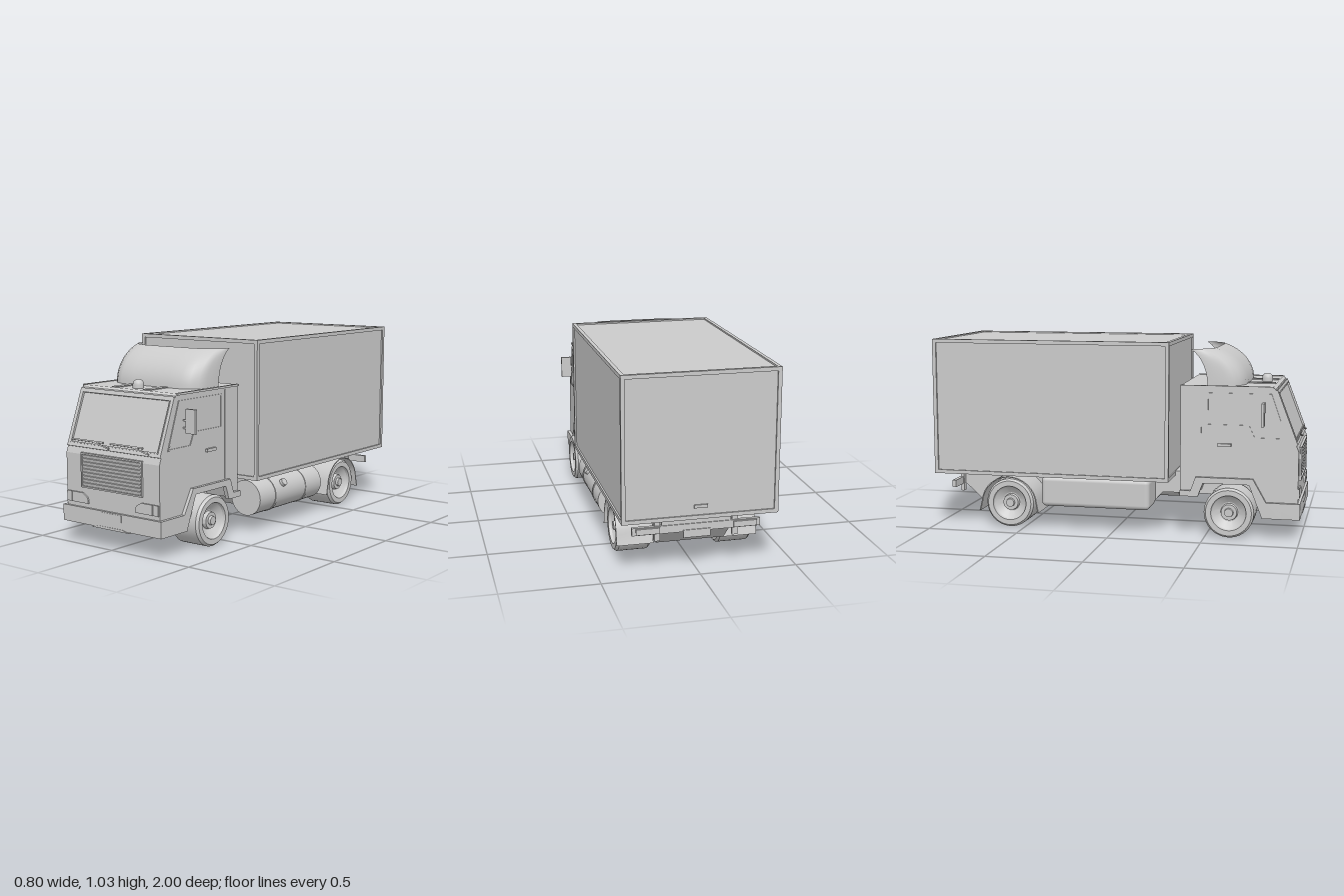
import * as THREE from 'three';
import { toCreasedNormals } from 'three/addons/utils/BufferGeometryUtils.js';
import { RoundedBoxGeometry } from 'three/addons/geometries/RoundedBoxGeometry.js';

const grey = new THREE.MeshStandardMaterial({ color: 0xcccccc });
const sheet = new THREE.MeshStandardMaterial({ color: 0xcccccc, side: THREE.DoubleSide });

function add(parent, name, geo, x = 0, y = 0, z = 0, mat = grey) {
  const m = new THREE.Mesh(geo, mat);
  m.name = name;
  m.position.set(x, y, z);
  parent.add(m);
  return m;
}
// box given by its min and max corners
function box(parent, name, x0, x1, y0, y1, z0, z1) {
  return add(parent, name, new THREE.BoxGeometry(x1 - x0, y1 - y0, z1 - z0), (x0 + x1) / 2, (y0 + y1) / 2, (z0 + z1) / 2);
}
function group(parent, name) {
  const g = new THREE.Group();
  g.name = name;
  parent.add(g);
  return g;
}
const outline = pts => new THREE.Shape(pts.map(p => new THREE.Vector2(...p)));
const extrude = (shape, depth) => new THREE.ExtrudeGeometry(shape, { depth, bevelEnabled: false });
// (z, y) outline extruded across x
function side(pts, x0, x1, hole) {
  const s = outline(pts);
  if (hole) s.holes.push(outline(hole));
  return extrude(s, x1 - x0).rotateY(-Math.PI / 2).translate(x1, 0, 0);
}
// flat rectangular frame in the xy plane
function frame(x0, x1, y0, y1, w, depth) {
  const s = outline([[x0, y0], [x1, y0], [x1, y1], [x0, y1]]);
  s.holes.push(outline([[x0 + w, y0 + w], [x0 + w, y1 - w], [x1 - w, y1 - w], [x1 - w, y0 + w]]));
  return extrude(s, depth);
}

function buildCargo(root) {
  const g = group(root, 'cargoBox');
  box(g, 'cargoPanels', -0.388, 0.388, 0.303, 1.027, -0.992, 0.302);
  const w = 0.02;
  // edge rails in all three directions
  for (const sx of [-1, 1]) {
    const xa = Math.min(sx * 0.397, sx * (0.397 - w)), xb = xa + w;
    for (const y of [0.295, 1.035 - w]) box(g, 'longRail', xa, xb, y, y + w, -1, 0.31);
    for (const z of [-1, 0.31 - w]) box(g, 'cornerPost', xa, xb, 0.295, 1.035, z, z + w);
  }
  for (const y of [0.295, 1.035 - w]) for (const z of [-1, 0.31 - w]) box(g, 'crossRail', -0.397, 0.397, y, y + w, z, z + w);
  box(g, 'rearHandle', -0.035, 0.035, 0.352, 0.368, -1, -0.99);
}

function buildChassis(root) {
  const g = group(root, 'chassis');
  add(g, 'chassisBody', side([[0.95, 0.12], [0.72, 0.12], [0.5, 0.2], [0.24, 0.2], [0.16, 0.11], [-0.8, 0.11], [-0.92, 0.22],
    [-0.92, 0.298], [0.31, 0.298], [0.31, 0.32], [0.95, 0.32]], -0.178, 0.178));
  box(g, 'cabLink', -0.125, 0.125, 0.2, 0.31, 0.3, 0.37);
  // rear bar and lamps
  box(g, 'rearBar', -0.33, 0.33, 0.205, 0.245, -0.925, -0.905);
  for (const s of [-1, 1]) {
    box(g, 'rearLamp', s * 0.25 - 0.06, s * 0.25 + 0.06, 0.21, 0.24, -0.935, -0.92);
    box(g, 'barBracket', s * 0.2 - 0.015, s * 0.2 + 0.015, 0.165, 0.298, -0.918, -0.9);
  }
  box(g, 'rearPlate', -0.07, 0.07, 0.175, 0.215, -0.93, -0.92);
  // fuel tank on the left side
  const tank = group(g, 'fuelTank');
  tank.position.set(0.288, 0.182, -0.035);
  add(tank, 'tankBody', new THREE.CylinderGeometry(0.096, 0.096, 0.59, 40).rotateX(Math.PI / 2));
  for (const z of [0.145, -0.145]) {
    add(tank, 'tankStrap', new THREE.CylinderGeometry(0.099, 0.099, 0.018, 40).rotateX(Math.PI / 2), 0, 0, z);
    box(tank, 'strapHanger', -0.02, 0.02, 0.09, 0.118, z - 0.009, z + 0.009);
  }
  add(tank, 'tankCap', new THREE.CylinderGeometry(0.021, 0.021, 0.03, 20).rotateZ(-Math.PI / 2 + 0.6), 0.08, 0.055, 0.065);
  // equipment case on the right side
  add(g, 'sideCase', new RoundedBoxGeometry(0.2, 0.165, 0.6, 4, 0.025), -0.267, 0.212, -0.1);
}

function buildWheels(root) {
  // tyre, rim and hub as one turned profile, open end outward
  const profile = [[0, -0.09], [0.122, -0.09], [0.133, -0.078], [0.133, 0.076], [0.122, 0.09], [0.094, 0.09], [0.09, 0.076],
    [0.084, 0.07], [0.052, 0.05], [0.046, 0.05], [0.042, 0.07], [0.024, 0.07], [0.022, 0.084], [0, 0.084]];
  const geo = toCreasedNormals(new THREE.LatheGeometry(profile.map(p => new THREE.Vector2(...p)), 40).rotateZ(-Math.PI / 2), 0.5);
  const guard = [];
  for (let i = 0; i <= 16; i++) {
    const a = Math.PI * (0.02 + 0.96 * i / 16);
    guard.push([-0.583 + Math.cos(a) * 0.158, 0.133 + Math.sin(a) * 0.153]);
  }
  // flared ends of the guard, then the inner skin back again
  guard.unshift([-0.415, 0.09]);
  guard.push([-0.755, 0.09]);
  const inner = guard.map(([z, y]) => [-0.583 + (z + 0.583) * 0.965, y === 0.09 ? y : 0.133 + (y - 0.133) * 0.965]).reverse();
  for (const s of [-1, 1]) {
    for (const [z, name] of [[0.626, 'frontWheel'], [-0.583, 'rearWheel']]) {
      add(root, name, geo, s * 0.27, 0.137, z).rotation.y = s > 0 ? 0 : Math.PI;
    }
    const x = s * 0.275;
    add(root, 'rearMudguard', toCreasedNormals(side([...guard, ...inner], x - 0.095, x + 0.095), 0.5));
  }
}

function buildCab(root) {
  const g = group(root, 'cab');
  g.position.x = -0.006;
  add(g, 'cabShell', side([[0.985, 0.15], [0.985, 0.47], [0.86, 0.795], [0.845, 0.805], [0.36, 0.805], [0.36, 0.225], [0.455, 0.225],
    [0.485, 0.3], [0.735, 0.3], [0.8, 0.15]], -0.315, 0.315));
  add(g, 'bumper', side([[0.998, 0.112], [0.998, 0.197], [0.81, 0.197], [0.8, 0.112]], -0.333, 0.333));
  add(g, 'bumperLip', extrude(outline([[-0.13, 0.107], [0.13, 0.107], [0.08, 0.119], [-0.08, 0.119]]), 0.12), 0, 0, 0.88);
  box(g, 'numberPlate', -0.073, 0.073, 0.156, 0.191, 0.99, 1.0);

  // windscreen on the raked face
  const ws = group(g, 'windscreen');
  ws.position.set(0, 0.47, 0.985);
  ws.rotation.x = -Math.atan(0.125 / 0.325);
  add(ws, 'windscreenFrame', frame(-0.315, 0.315, 0.035, 0.342, 0.02, 0.008));
  add(ws, 'windscreenSeal', frame(-0.297, 0.297, 0.053, 0.326, 0.006, 0.011));
  for (const x of [-0.175, 0.09]) {
    box(ws, 'wiperBlade', x - 0.108, x + 0.108, 0.066, 0.074, 0.01, 0.018);
    add(ws, 'wiperArm', new THREE.BoxGeometry(0.115, 0.007, 0.007), x + 0.1, 0.055, 0.016).rotation.z = -0.22;
  }

  // grille
  add(g, 'grilleFrame', frame(-0.207, 0.207, 0.3, 0.48, 0.008, 0.014), 0, 0, 0.98);
  for (let i = 0; i < 9; i++) {
    add(g, 'grilleSlat', new THREE.BoxGeometry(0.4, 0.016, 0.006), 0, 0.318 + i * 0.018, 0.986).rotation.x = 0.25;
  }

  for (const s of [-1, 1]) {
    const X = (a, b) => [Math.min(s * a, s * b), Math.max(s * a, s * b)];
    // wheel arch trim
    const [t0, t1] = X(0.31, 0.333);
    add(g, 'archTrim', side([[0.82, 0.197], [0.75, 0.32], [0.445, 0.32], [0.418, 0.245], [0.36, 0.245], [0.36, 0.215], [0.458, 0.215],
      [0.485, 0.288], [0.73, 0.288], [0.8, 0.112], [0.9, 0.112], [0.9, 0.197]], t0, t1));
    // headlamp and indicator
    const lamp = [[0.16, 0.219], [0.272, 0.219], [0.272, 0.272], [0.2, 0.272], [0.17, 0.255], [0.16, 0.238]].map(([x, y]) => [x * s, y]);
    add(g, 'headlamp', extrude(outline(lamp), 0.012), 0, 0, 0.981);
    box(g, 'indicator', ...X(0.277, 0.31), 0.219, 0.272, 0.96, 0.992);
    // door window trim, seams and handle
    const [w0, w1] = X(0.313, 0.319);
    add(g, 'sideWindowTrim', side([[0.5, 0.595], [0.72, 0.595], [0.75, 0.53], [0.925, 0.53], [0.84, 0.77], [0.5, 0.77]], w0, w1,
      [[0.508, 0.603], [0.508, 0.762], [0.834, 0.762], [0.913, 0.538], [0.755, 0.538], [0.725, 0.603]]));
    box(g, 'doorSeam', ...X(0.312, 0.317), 0.325, 0.79, 0.468, 0.472);
    box(g, 'doorHandle', ...X(0.31, 0.328), 0.487, 0.503, 0.558, 0.632);
    // mirror
    box(g, 'mirror', ...X(0.334, 0.394), 0.606, 0.728, 0.795, 0.809);
    for (const y of [0.632, 0.67]) box(g, 'mirrorArm', ...X(0.31, 0.345), y - 0.004, y + 0.004, 0.798, 0.806);
    box(g, 'roofRib', ...X(0.085, 0.125), 0.8, 0.81, 0.5, 0.84);
    box(g, 'roofGutter', ...X(0.308, 0.322), 0.797, 0.808, 0.36, 0.85);
  }

  // beacon
  const dome = [[0.029, 0], [0.029, 0.02], [0.027, 0.032], [0.02, 0.041], [0.01, 0.046], [0, 0.047]].map(p => new THREE.Vector2(...p));
  add(g, 'beacon', new THREE.LatheGeometry(dome, 24), 0.006, 0.803, 0.785);
  buildDeflector(g);
}

// curved roof deflector lofted between a bottom and a top plan curve
function buildDeflector(g) {
  const plan = [[0, 0.695, 0.53], [0.12, 0.695, 0.53], [0.2, 0.69, 0.525], [0.245, 0.67, 0.5], [0.278, 0.64, 0.47], [0.296, 0.595, 0.445], [0.298, 0.5, 0.408]];
  const full = [...plan.slice(1).reverse().map(([x, b, t]) => [-x, b, t]), ...plan];
  const rows = 12, n = full.length, pos = [], idx = [];
  for (let j = 0; j <= rows; j++) {
    const t = j / rows * 1.15;
    const k = (1 - Math.cos(t)) / (1 - Math.cos(1.15));
    for (const [x, b, top] of full) pos.push(x, 0.805 + 0.192 * Math.sin(t) / Math.sin(1.15), b + (top - b) * k);
  }
  for (let j = 0; j < rows; j++) for (let i = 0; i < n - 1; i++) {
    const a = j * n + i;
    idx.push(a, a + 1, a + n + 1, a, a + n + 1, a + n);
  }
  const geo = new THREE.BufferGeometry();
  geo.setAttribute('position', new THREE.Float32BufferAttribute(pos, 3));
  geo.setIndex(idx);
  geo.computeVertexNormals();
  add(g, 'roofDeflector', geo, 0, 0, 0, sheet);
}

export function createModel() {
  const root = new THREE.Group();
  root.name = 'boxTruck';
  buildCargo(root);
  buildChassis(root);
  buildWheels(root);
  buildCab(root);
  return root;
}
